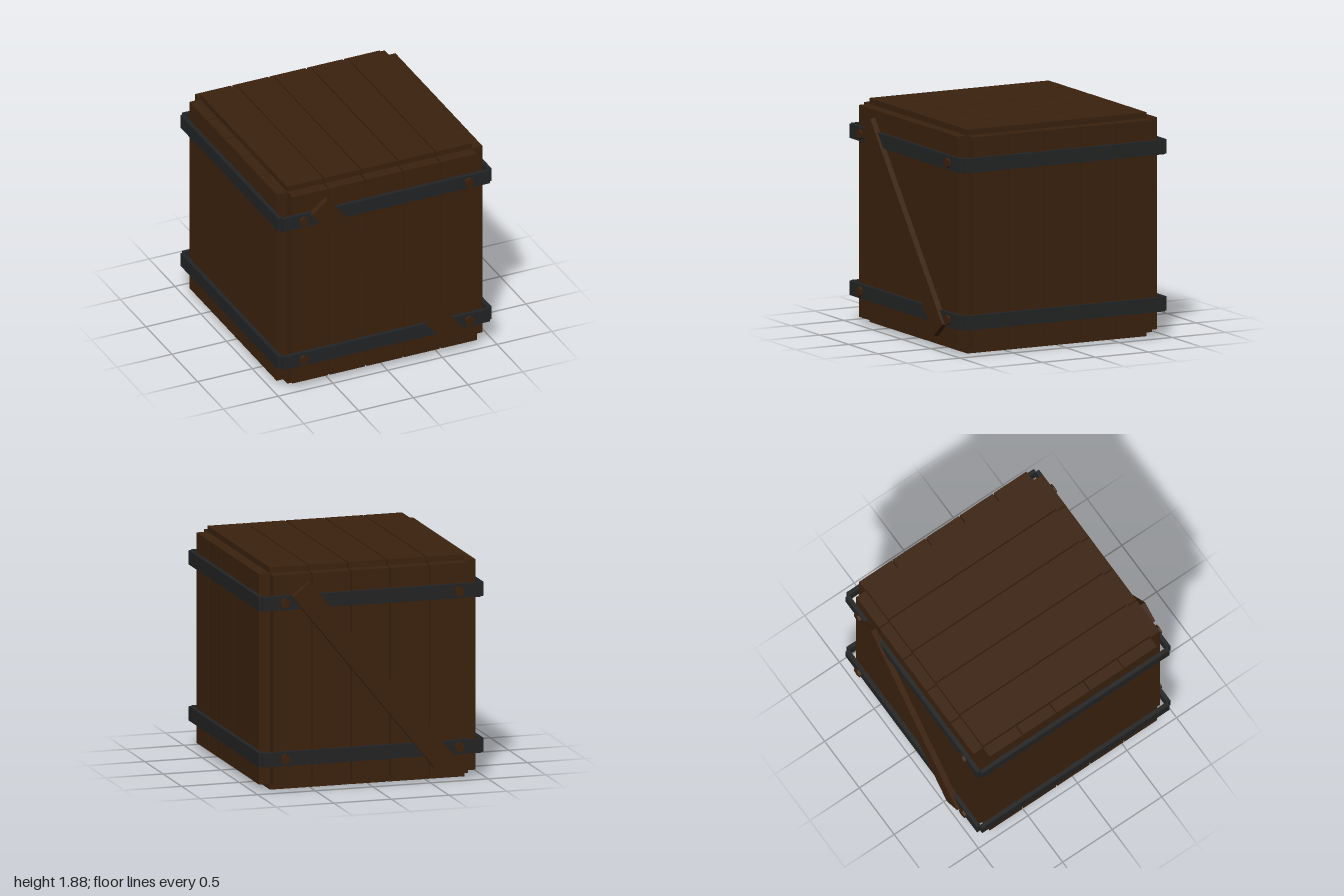
import * as THREE from 'three';

export function createModel() {
  const model = new THREE.Group();
  model.name = 'woodenCrate';

  const material = (name, color) => {
    const m = new THREE.MeshStandardMaterial({ color });
    m.name = name;
    return m;
  };
  const wood = material('dark wood', 0x3c220e);
  const iron = material('dark iron', 0x232425);

  const MID = 0.94;        // height of the crate's centre
  const THICK = 0.14;      // plank thickness
  const PITCH = 0.34;      // plank spacing
  const PLANK = 0.328;     // plank width

  const box = (parent, name, mat, size, pos) => {
    const mesh = new THREE.Mesh(new THREE.BoxGeometry(...size), mat);
    mesh.name = name;
    mesh.position.set(...pos);
    parent.add(mesh);
    return mesh;
  };

  // A panel of five planks, facing +z
  const panel = (name, length) => {
    const group = new THREE.Group();
    group.name = name;
    for (let i = -2; i <= 2; i++) {
      box(group, 'plank', wood, [PLANK, length, THICK], [i * PITCH, 0, MID - THICK / 2]);
    }
    group.position.y = MID;
    model.add(group);
    return group;
  };

  // Four walls, each with two iron bands
  ['front', 'left', 'back', 'right'].forEach((side, i) => {
    const wall = panel(side + 'Wall', 1.78);
    wall.rotation.y = i * Math.PI / 2;
    for (const y of [-0.66, 0.66]) {
      box(wall, 'ironBand', iron, [1.89, 0.12, 0.035], [0, y, 0.9575]);
    }

    // Diagonal brace and bolts on the front and back
    if (i % 2 === 0) {
      const brace = box(wall, 'diagonalBrace', wood, [1.975, 0.19, 0.048], [0, 0, 0.976]);
      brace.rotation.z = Math.atan2(-1.535, 1.24);
      for (const x of [-0.755, 0.755]) {
        for (const y of [-0.66, 0.66]) {
          const bolt = new THREE.Mesh(
            new THREE.CylinderGeometry(0.043, 0.043, 0.03, 6).toNonIndexed(), wood);
          bolt.geometry.computeVertexNormals();
          bolt.name = 'bolt';
          bolt.rotation.x = Math.PI / 2;
          bolt.position.set(x, y, 0.983);
          wall.add(bolt);
        }
      }
    }
  });

  // Lid and floor, planks running front to back
  panel('lid', 1.69).rotation.x = -Math.PI / 2;
  panel('floor', 1.69).rotation.x = Math.PI / 2;

  // Stacked blocks inside, glimpsed through the gaps
  for (const y of [0.72, 1.15]) {
    box(model, 'innerBlock', wood, [1.22, 0.3, 1.22], [0, y, 0]);
  }

  return model;
}
